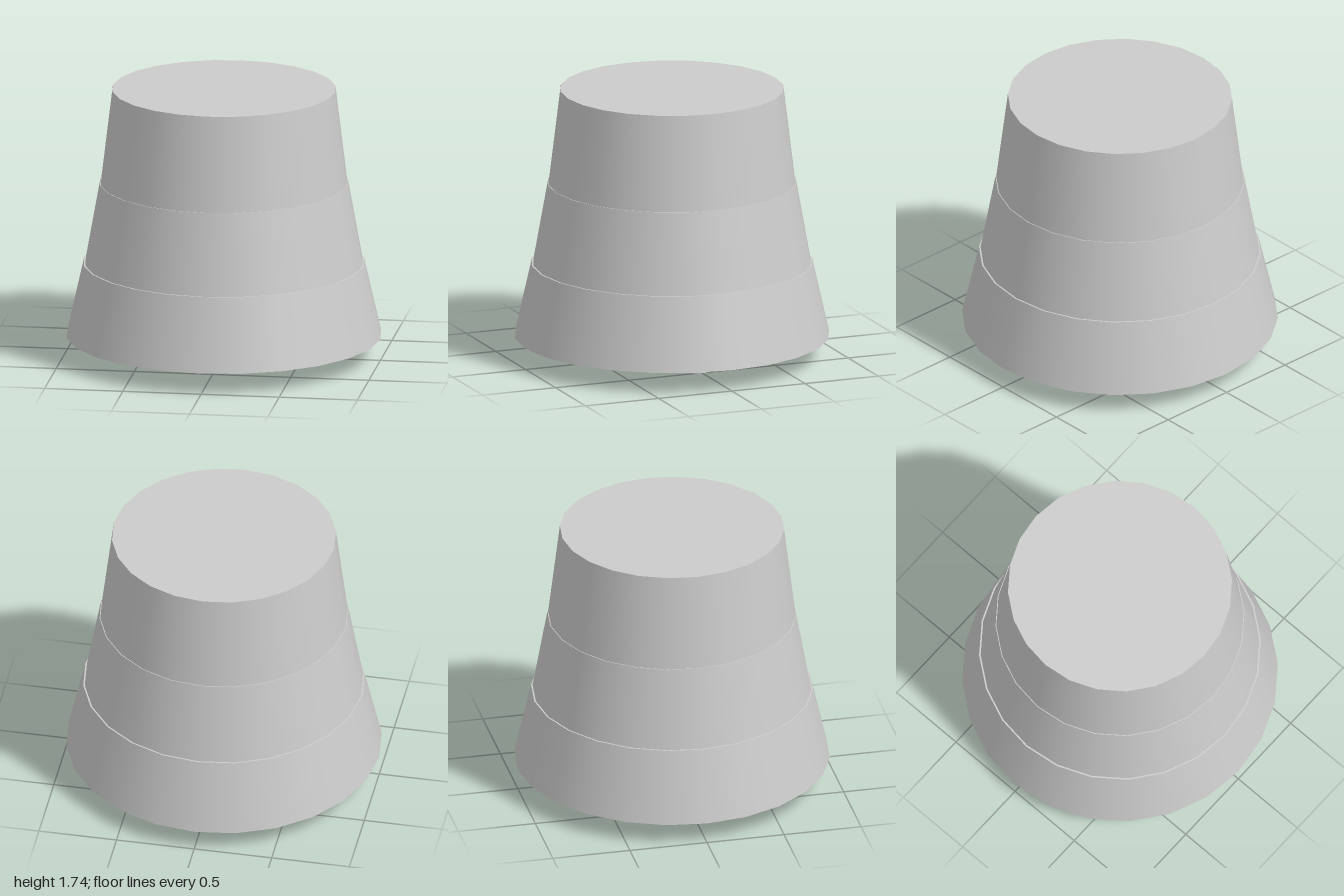
import * as THREE from 'three';

export function createModel() {
  const group = new THREE.Group();
  const grey = new THREE.MeshStandardMaterial({ color: 0xcccccc });
  const metal = new THREE.MeshStandardMaterial({ color: 0xe6e8ee });

  // Closed cylinder or cone section standing between two heights
  function addSection(name, rTop, rBottom, y0, y1, sides, material, x = 0) {
    const mesh = new THREE.Mesh(new THREE.CylinderGeometry(rTop, rBottom, y1 - y0, sides), material);
    mesh.name = name;
    mesh.position.set(x, (y0 + y1) / 2, 0);
    group.add(mesh);
  }

  // Tapered body in three stacked tiers, each with a slight lip over the one above
  addSection('lowerBody', 0.893, 1, 0.135, 0.607, 24, grey);
  addSection('middleBody', 0.789, 0.883, 0.607, 1.13, 24, grey);
  addSection('upperBody', 0.71, 0.784, 1.13, 1.74, 24, grey);

  // Pair of round pins under the base
  for (const side of [-1, 1]) {
    addSection(side > 0 ? 'leftPin' : 'rightPin', 0.09, 0.09, 0, 0.135, 24, metal, side * 0.42);
  }

  return group;
}
